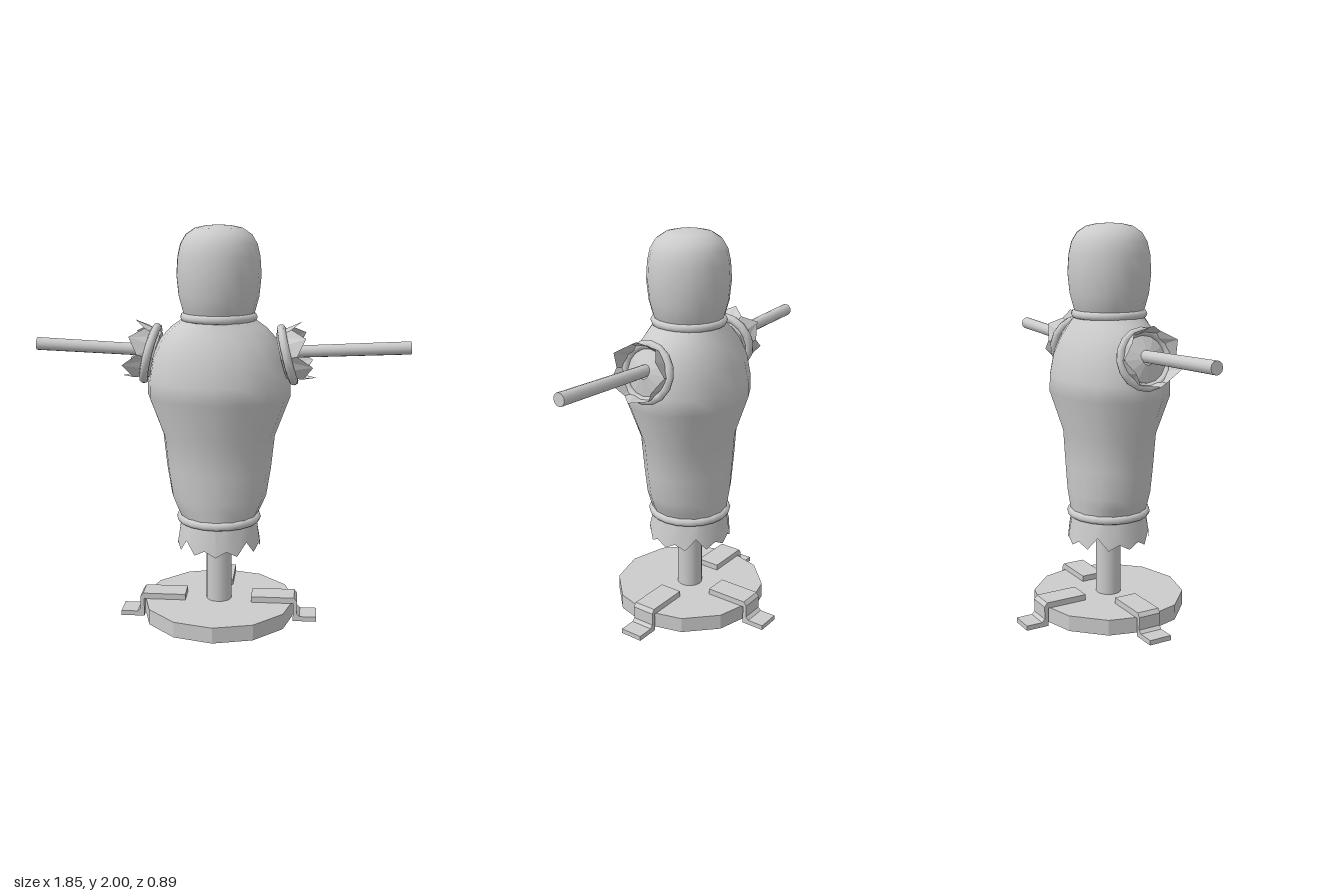
import * as THREE from 'three';
import { mergeVertices } from 'three/addons/utils/BufferGeometryUtils.js';

const mat = new THREE.MeshStandardMaterial({ color: 0xcccccc, side: THREE.DoubleSide });
const flat = new THREE.MeshStandardMaterial({ color: 0xcccccc, side: THREE.DoubleSide, flatShading: true });

function part(parent, name, geometry, material = mat) {
  const mesh = new THREE.Mesh(geometry, material);
  mesh.name = name;
  parent.add(mesh);
  return mesh;
}

// Smooth upright tube from rows of [height, half width, half depth]
function loft(rows, sides) {
  const lathe = new THREE.LatheGeometry(rows.map(([y, w]) => new THREE.Vector2(w, y)), sides);
  const pos = lathe.attributes.position;
  for (let i = 0; i < pos.count; i++) {
    const [, w, d] = rows[i % rows.length];
    if (w > 0) pos.setZ(i, pos.getZ(i) * d / w);
  }
  lathe.deleteAttribute('uv');
  lathe.deleteAttribute('normal');
  const geometry = mergeVertices(lathe);
  geometry.computeVertexNormals();
  return geometry;
}

// Open cloth sleeve along y whose far edge is torn: edge(k) gives its height
function tornSleeve(r0, y0, r1, sides, edge) {
  const g = new THREE.CylinderGeometry(r1, r0, 1, sides, 1, true);
  const pos = g.attributes.position;
  for (let i = 0; i <= sides; i++) {
    pos.setY(i, edge(i % sides));
    pos.setY(i + sides + 1, y0);
  }
  g.computeVertexNormals();
  return g;
}

export function createModel() {
  const root = new THREE.Group();
  root.name = 'trainingDummy';
  const model = new THREE.Group();
  model.name = 'dummy';
  model.position.set(-0.015, 0, 0.055);
  root.add(model);

  // Hollow twelve-sided base: rim and holed top
  part(model, 'baseRim', new THREE.CylinderGeometry(0.39, 0.39, 0.08, 12, 1, true), flat).position.y = 0.06;
  const top = part(model, 'baseTop', new THREE.RingGeometry(0.063, 0.39, 12), flat);
  top.rotation.x = -Math.PI / 2;
  top.position.y = 0.1;

  // Three bent clamps holding the base: left, right and back
  const clampShape = new THREE.Shape([
    [0.17, 0.1], [0.385, 0.1], [0.385, 0.005], [0.505, 0.005], [0.505, 0.03],
    [0.42, 0.03], [0.405, 0.045], [0.405, 0.11], [0.39, 0.13], [0.17, 0.13],
  ].map(([x, y]) => new THREE.Vector2(x, y)));
  const clampGeo = new THREE.ExtrudeGeometry(clampShape, { depth: 0.12, bevelEnabled: false });
  clampGeo.translate(0, 0, -0.06);
  for (let k = 0; k < 3; k++) {
    part(model, 'baseClamp', clampGeo, flat).rotation.y = k * Math.PI / 2;
  }

  // Hollow post
  part(model, 'post', new THREE.CylinderGeometry(0.065, 0.065, 0.55, 16, 1, true)).position.y = 0.375;

  // Stuffed torso
  part(model, 'torso', loft([
    [0.55, 0.19, 0.195], [0.6, 0.215, 0.2], [0.66, 0.24, 0.206], [0.8, 0.262, 0.213],
    [0.97, 0.28, 0.222], [1.17, 0.355, 0.287], [1.25, 0.355, 0.285], [1.36, 0.335, 0.264],
    [1.45, 0.29, 0.225], [1.51, 0.235, 0.19], [1.56, 0.165, 0.165],
  ], 16));

  // Torn skirt below the waist, with deep notches on the diagonals
  part(model, 'skirt', tornSleeve(0.212, 0.55, 0.212, 24,
    (k) => 0.39)).geometry = (() => {
    const g = new THREE.CylinderGeometry(0.19, 0.212, 1, 24, 1, true);
    const pos = g.attributes.position;
    for (let i = 0; i <= 24; i++) {
      pos.setY(i, 0.55);
      pos.setY(i + 25, i % 2 === 0 ? 0.39 : i % 6 === 3 ? 0.455 : 0.42);
    }
    g.computeVertexNormals();
    return g;
  })();

  // Head
  part(model, 'head', loft([
    [1.54, 0.155], [1.59, 0.178], [1.66, 0.197], [1.76, 0.207], [1.85, 0.201], [1.91, 0.187],
    [1.955, 0.16], [1.985, 0.115], [1.997, 0.06], [2, 0],
  ].map(([y, r]) => [y, r, r]), 20));

  // Rope ties around neck and waist
  for (const [name, y, r] of [['neckRope', 1.56, 0.168], ['waistRope', 0.545, 0.192]]) {
    const rope = part(model, name, new THREE.TorusGeometry(r, 0.022, 8, 20));
    rope.rotation.x = Math.PI / 2;
    rope.position.y = y;
  }

  // Arms: tilted rope and torn cuff, with a stick through them
  for (const side of [1, -1]) {
    const arm = new THREE.Group();
    arm.name = side > 0 ? 'leftArm' : 'rightArm';
    arm.scale.x = side;
    model.add(arm);

    const shoulder = new THREE.Group();
    shoulder.name = 'shoulder';
    shoulder.position.set(0.338, 1.375, 0);
    shoulder.rotation.z = 0.25 - Math.PI / 2;
    arm.add(shoulder);
    part(shoulder, 'armRope', new THREE.TorusGeometry(0.134, 0.021, 8, 16)).rotation.x = Math.PI / 2;
    part(shoulder, 'cuff', tornSleeve(0.118, -0.03, 0.143, 12,
      (k) => (k % 2 ? 0.11 : 0.05)), flat);
    // Gathered cloth closing the cuff around the stick
    part(shoulder, 'cuffLining', new THREE.CylinderGeometry(0.03, 0.125, 0.03, 12, 1, true), flat).position.y = 0.01;

    const length = side > 0 ? 0.935 : 0.91;
    const stick = part(arm, 'stick', new THREE.CylinderGeometry(0.032, 0.029, length - 0.2, 12));
    stick.position.set((length + 0.2) / 2, 1.4, -0.005);
    stick.rotation.z = 0.045 - Math.PI / 2;
  }
  return root;
}
